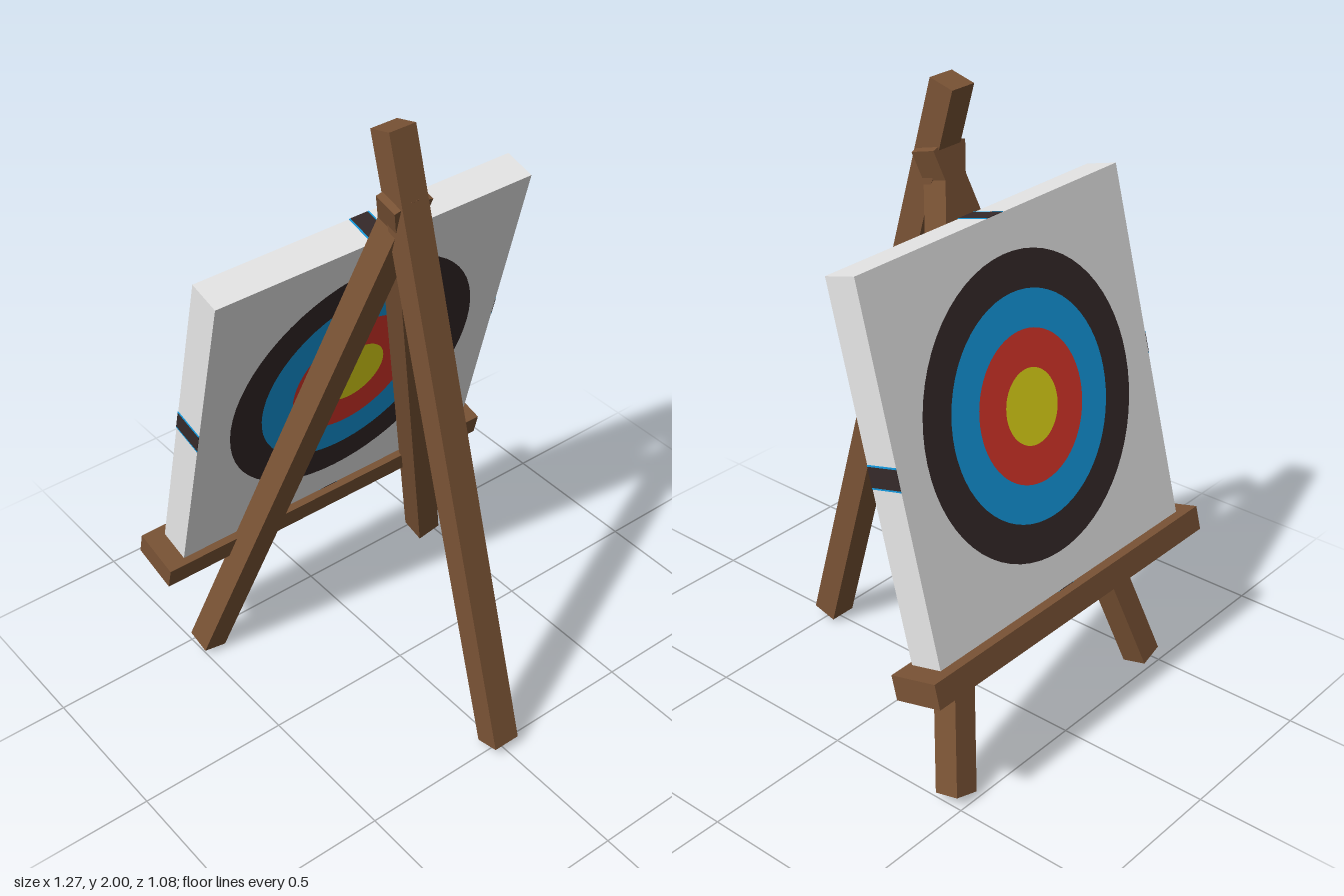
import * as THREE from 'three';

const mat = (name, color) => {
  const m = new THREE.MeshStandardMaterial({ color });
  m.name = name;
  return m;
};

export function createModel() {
  const wood = mat('wood', 0x7a5335);
  const white = mat('board white', 0xe8e8e8);
  const black = mat('black', 0x352929);
  const blue = mat('blue', 0x149be1);
  const red = mat('red', 0xde372b);
  const yellow = mat('yellow', 0xe8de18);

  const LEAN = THREE.MathUtils.degToRad(15);
  const root = new THREE.Group();
  root.name = 'archeryTarget';

  const add = (parent, name, geometry, material, x, y, z) => {
    const mesh = new THREE.Mesh(geometry, material);
    mesh.name = name;
    mesh.position.set(x, y, z);
    parent.add(mesh);
    return mesh;
  };
  const box = (parent, name, material, w, h, d, x, y, z) =>
    add(parent, name, new THREE.BoxGeometry(w, h, d), material, x, y, z);

  // Long pole propping the easel from the front
  box(root, 'propPole', wood, 0.093, 2.034, 0.085, 0, 1.008, 0.234).rotation.x = -LEAN;

  // Everything else lies in one leaning plane
  const easel = new THREE.Group();
  easel.name = 'easel';
  easel.rotation.x = LEAN;
  root.add(easel);

  // Splayed legs, crossing at the top
  for (const s of [-1, 1]) {
    const leg = box(easel, s > 0 ? 'leftLeg' : 'rightLeg', wood, 0.085, 1.903, 0.085, s * 0.219, 0.826, -0.443);
    leg.rotation.z = s * LEAN;
  }

  // Ledge carrying the board
  box(easel, 'ledge', wood, 1.27, 0.079, 0.166, 0, 0.3425, -0.555);

  // Square board
  const SIZE = 1.142, THICK = 0.11, CY = 0.957, CZ = -0.549;
  box(easel, 'board', white, SIZE, SIZE, THICK, 0, CY, CZ);

  // Concentric rings on both faces
  const STEP = 0.1143;
  [yellow, red, blue, black].forEach((material, i) => {
    const geometry = i === 0
      ? new THREE.CircleGeometry(STEP, 64)
      : new THREE.RingGeometry(STEP * i, STEP * (i + 1), 64);
    for (const s of [-1, 1]) {
      const ring = add(easel, `${material.name}Ring`, geometry, material, 0, CY, CZ + s * (THICK / 2 + 0.002));
      if (s < 0) ring.rotation.y = Math.PI;
    }
  });

  // Painted bands across the middle of the four edges
  for (let i = 0; i < 4; i++) {
    const edge = new THREE.Group();
    edge.name = 'edgeBand';
    edge.position.set(0, CY, CZ);
    edge.rotation.z = i * Math.PI / 2;
    easel.add(edge);
    box(edge, 'blackBand', black, 0.062, 0.004, THICK, 0, SIZE / 2, 0);
    for (const s of [-1, 1]) box(edge, 'blueLine', blue, 0.005, 0.004, THICK, s * 0.0335, SIZE / 2, 0);
  }

  return root;
}
